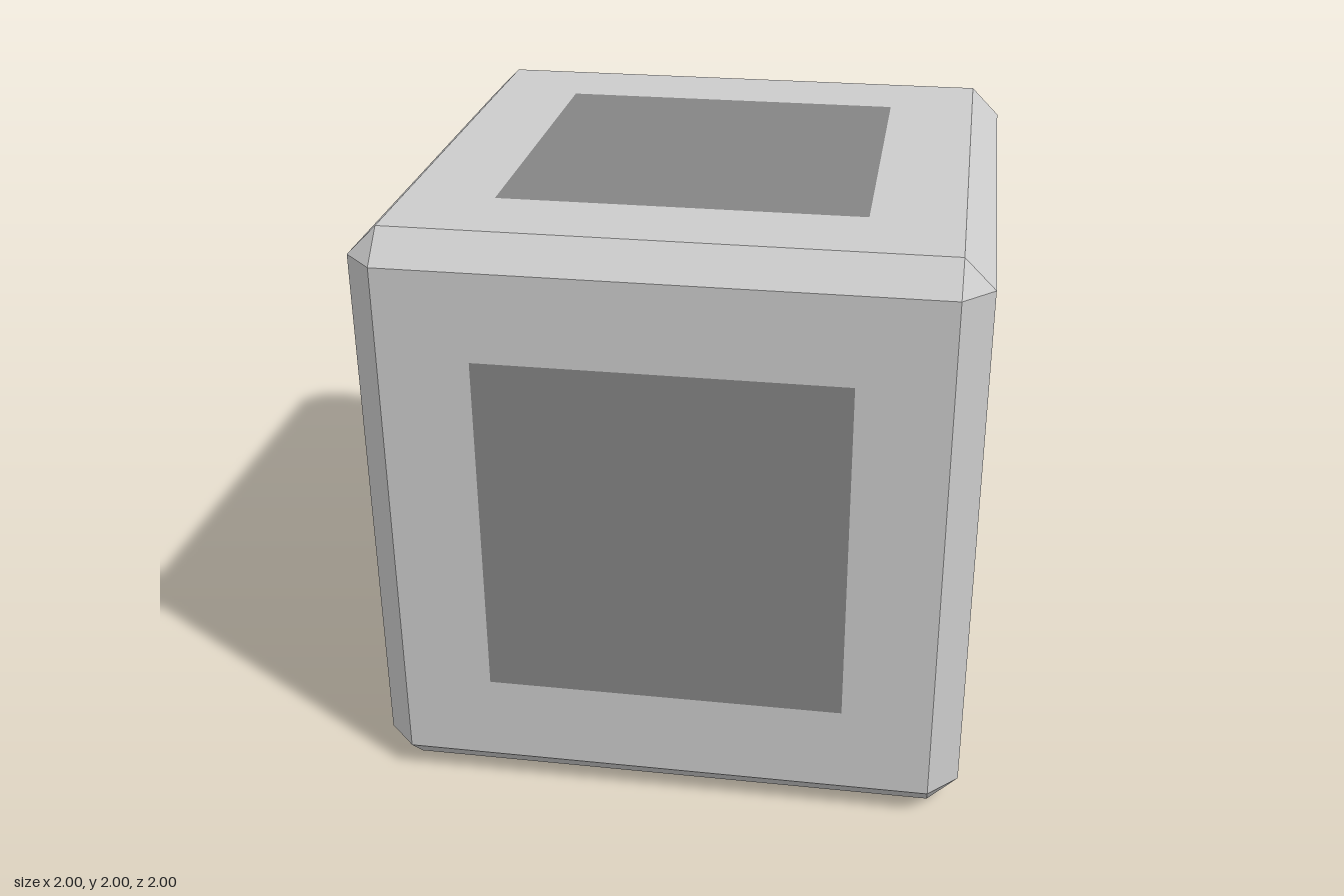
import * as THREE from 'three';
import { mergeGeometries } from 'three/addons/utils/BufferGeometryUtils.js';

const HALF = 1;        // half the cube's side
const FLAT = 0.9;      // half the flat part of a face, inside the bevels
const PANEL = 0.6;     // half the side of the dark panel
const Q = Math.PI / 2;

// Rotations that carry the +z face onto each side
const SIDES = {
  front: [0, 0], left: [0, Q], back: [0, 2 * Q], right: [0, -Q], top: [-Q, 0], bottom: [Q, 0],
};

function squarePath(h, Type) {
  return new Type([[-h, -h], [h, -h], [h, h], [-h, h]].map(([x, y]) => new THREE.Vector2(x, y)));
}

function plain(geometry) {
  const g = geometry.index ? geometry.toNonIndexed() : geometry;
  g.deleteAttribute('uv');
  return g;
}

// Flat face border around the panel
function faceFrame([rx, ry]) {
  const shape = squarePath(FLAT, THREE.Shape);
  shape.holes.push(squarePath(PANEL, THREE.Path));
  return plain(new THREE.ShapeGeometry(shape)).translate(0, 0, HALF).rotateX(rx).rotateY(ry);
}

// Four bevel strips parallel to one axis
function bevels(axis) {
  const strips = [];
  const mid = (HALF + FLAT) / 2;
  for (let k = 0; k < 4; k++) {
    const g = new THREE.PlaneGeometry(2 * FLAT, (HALF - FLAT) * Math.SQRT2);
    g.rotateX(-Math.PI / 4).translate(0, mid, mid).rotateX(k * Q);
    if (axis === 'y') g.rotateZ(Q);
    if (axis === 'z') g.rotateY(Q);
    strips.push(plain(g));
  }
  return strips;
}

// Triangle cutting off one corner
function corner(sx, sy, sz) {
  const pts = [[HALF, FLAT, FLAT], [FLAT, HALF, FLAT], [FLAT, FLAT, HALF]]
    .map(([x, y, z]) => new THREE.Vector3(x * sx, y * sy, z * sz));
  if (sx * sy * sz < 0) pts.reverse();
  const g = new THREE.BufferGeometry().setFromPoints(pts);
  g.computeVertexNormals();
  return g;
}

export function createModel() {
  const model = new THREE.Group();
  model.name = 'panelledCube';
  const shell = new THREE.MeshStandardMaterial({ color: 0xcccccc, flatShading: true });
  const dark = new THREE.MeshStandardMaterial({ color: 0x858585 });

  // Bevelled cube body
  const parts = Object.values(SIDES).map(faceFrame);
  for (const axis of ['x', 'y', 'z']) parts.push(...bevels(axis));
  for (const sx of [-1, 1]) for (const sy of [-1, 1]) for (const sz of [-1, 1]) {
    parts.push(corner(sx, sy, sz));
  }
  const body = new THREE.Mesh(mergeGeometries(parts), shell);
  body.name = 'bevelledBody';
  body.position.y = HALF;
  model.add(body);

  // Flush square panel on each side
  for (const [side, [rx, ry]] of Object.entries(SIDES)) {
    const g = new THREE.PlaneGeometry(2 * PANEL, 2 * PANEL);
    g.translate(0, 0, HALF).rotateX(rx).rotateY(ry);
    const panel = new THREE.Mesh(g, dark);
    panel.name = side + 'Panel';
    panel.position.y = HALF;
    model.add(panel);
  }
  return model;
}
